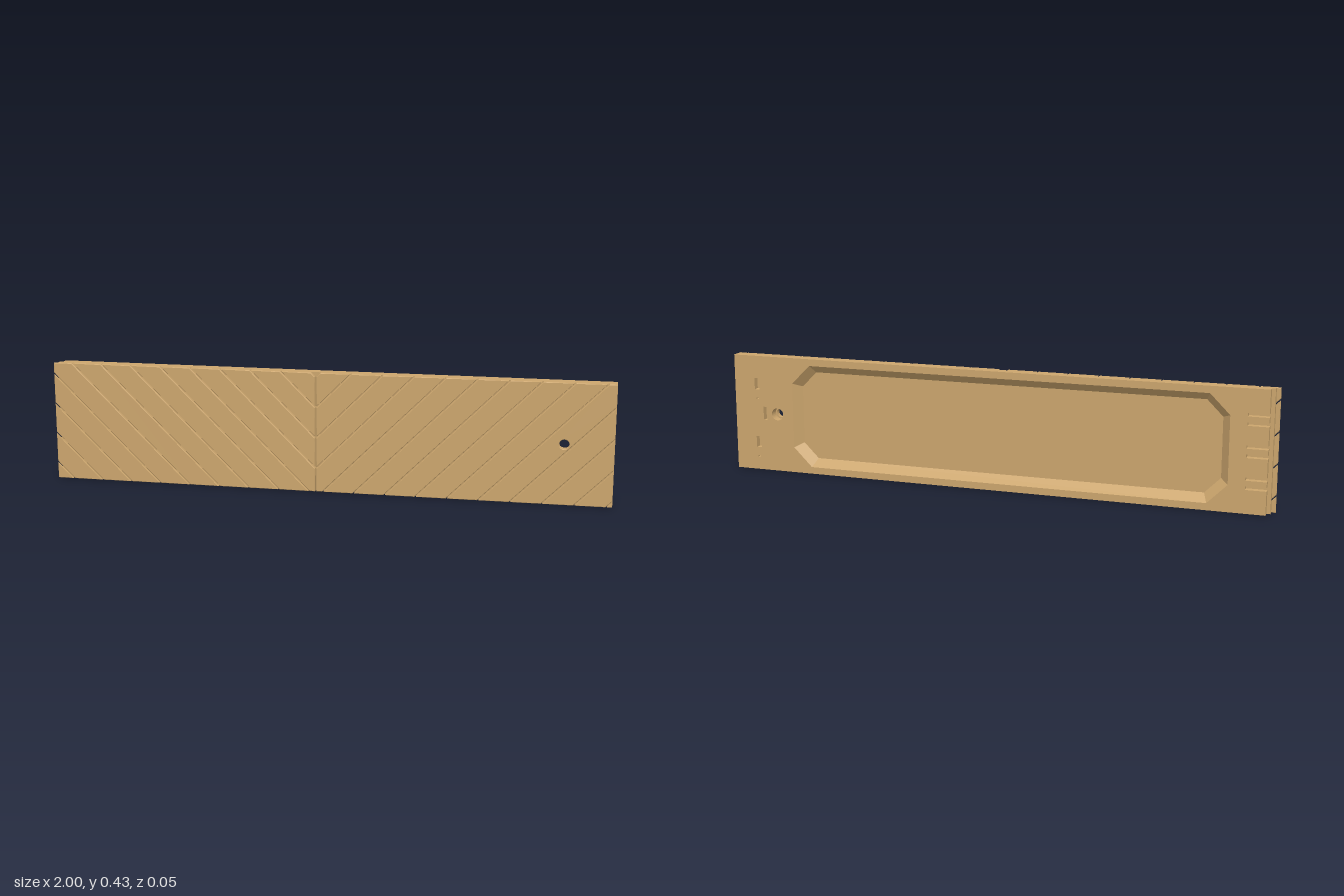
import * as THREE from 'three';

const H = 0.43, MID = -0.035, HOLE = [0.83, 0.215];
const wood = new THREE.MeshStandardMaterial({ color: 0xcba56d });
wood.name = 'tan';
const woodInner = wood.clone();
woodInner.side = THREE.DoubleSide;

const vec = (pts) => pts.map(([x, y]) => new THREE.Vector2(x, y));
const rect = (x0, y0, x1, y1) => [[x0, y0], [x1, y0], [x1, y1], [x0, y1]];
const circle = ([x, y], r) => new THREE.Path().absarc(x, y, r, 0, Math.PI * 2, true);
const poly = (pts) => new THREE.Path(vec(pts));
const slot = (x, y, w, h) => poly(rect(x - w / 2, y - h / 2, x + w / 2, y + h / 2));

// Extrude an outline with holes from z0 to z1, optionally with chamfered edges
function plate(name, pts, holes, z0, z1, bevel = 0) {
  const shape = new THREE.Shape(vec(pts));
  shape.holes.push(...holes);
  const geo = new THREE.ExtrudeGeometry(shape, {
    depth: z1 - z0 - 2 * bevel, curveSegments: 16, bevelEnabled: bevel > 0,
    bevelThickness: bevel, bevelSize: bevel, bevelOffset: -bevel, bevelSegments: 1,
  });
  geo.translate(0, 0, z0 + bevel);
  const mesh = new THREE.Mesh(geo, wood);
  mesh.name = name;
  return mesh;
}

// Keep the part of a polygon where a*x + b*y <= c
function clip(pts, a, b, c) {
  const out = [];
  pts.forEach((p, i) => {
    const q = pts[(i + 1) % pts.length];
    const dp = a * p[0] + b * p[1] - c, dq = a * q[0] + b * q[1] - c;
    if (dp <= 0) out.push(p);
    if (dp * dq < 0) {
      const k = dp / (dp - dq);
      out.push([p[0] + (q[0] - p[0]) * k, p[1] + (q[1] - p[1]) * k]);
    }
  });
  return out;
}

// Diagonal slats on one side of the centre groove; side is 1 or -1
function slats(name, side, xEnd, z0, z1, bevel) {
  const group = new THREE.Group();
  group.name = name;
  const gap = 0.0026;
  const area = side > 0 ? rect(MID + 0.003, 0, xEnd, H) : rect(xEnd, 0, MID - 0.003, H);
  const shift = side > 0 ? 0 : 2 * MID;
  for (let k = -2; k < 14; k++) {
    // Each band lies between two lines, side * x - y = t - H
    const lo = 0.09 + 0.11 * k - H - shift + gap, hi = lo + 0.11 - 2 * gap;
    let pts = clip(area, side, -1, hi);
    pts = clip(pts, -side, 1, -lo);
    const size = Math.abs(THREE.ShapeUtils.area(vec(pts)));
    if (pts.length < 3 || size < 0.0001) continue;
    const u = HOLE[0] - HOLE[1];
    const holes = side > 0 && u > lo && u < hi ? [circle(HOLE, 0.017)] : [];
    group.add(plate('slat', pts, holes, z0, z1, bevel));
  }
  return group;
}

// Octagonal pocket outline, inset by d
function pocket(d) {
  const x0 = -0.842 + d, x1 = 0.766 - d, y0 = 0.025 + d, y1 = H - 0.025 - d, c = 0.07 - d * 0.5;
  return [[x0 + c, y0], [x1 - c, y0], [x1, y0 + c], [x1, y1 - c],
    [x1 - c, y1], [x0 + c, y1], [x0, y1 - c], [x0, y0 + c]];
}

// Sloping walls from the pocket rim to its floor
function pocketWalls(zRim, zFloor, slope) {
  const a = pocket(0), b = pocket(slope), pos = [];
  a.forEach((p, i) => {
    const j = (i + 1) % a.length;
    const A = [...p, zRim], B = [...a[j], zRim], C = [...b[j], zFloor], D = [...b[i], zFloor];
    pos.push(...A, ...C, ...B, ...A, ...D, ...C);
  });
  const geo = new THREE.BufferGeometry();
  geo.setAttribute('position', new THREE.Float32BufferAttribute(pos, 3));
  geo.computeVertexNormals();
  const mesh = new THREE.Mesh(geo, woodInner);
  mesh.name = 'pocketWalls';
  return mesh;
}

export function createModel() {
  const model = new THREE.Group();
  model.name = 'panel';

  // Chevron front: chamfered top layer reaching the end lip, and the layer below
  for (const side of [1, -1]) {
    const n = side > 0 ? 'left' : 'right';
    model.add(slats(n + 'FrontSlats', side, side, 0.0175, 0.025, 0.0022));
    model.add(slats(n + 'LowerSlats', side, side > 0 ? 1 : -0.985, 0.01, 0.02, 0));
  }

  // Solid layer behind the slats, which is also the pocket floor
  model.add(plate('floorPlate', rect(-0.985, 0, 1, H), [circle(HOLE, 0.017)], 0.006, 0.01));
  model.add(plate('middleFrame', rect(-0.985, 0, 1, H),
    [poly(pocket(0)), circle(HOLE, 0.023)], -0.002, 0.006));

  // Back frame: paired clip slots open at the stepped end
  const outline = [[-0.972, 0], [1, 0], [1, H], [-0.972, H]];
  for (const y of [0.325, 0.215, 0.105]) {
    for (const s of [y + 0.016, y - 0.016]) {
      outline.push([-0.972, s + 0.006], [-0.9, s + 0.006], [-0.9, s - 0.006], [-0.972, s - 0.006]);
    }
  }
  // Mounting slots, pin holes and the round hole
  const holes = [poly(pocket(0)), circle(HOLE, 0.023), slot(0.88, 0.215, 0.014, 0.05)];
  for (const y of [0.325, 0.105]) {
    holes.push(slot(0.91, y, 0.02, 0.042), slot(0.91, y - 0.055, 0.01, 0.005));
  }
  model.add(plate('backFrame', outline, holes, -0.025, -0.002));
  model.add(pocketWalls(-0.025, 0.006, 0.028));
  return model;
}
